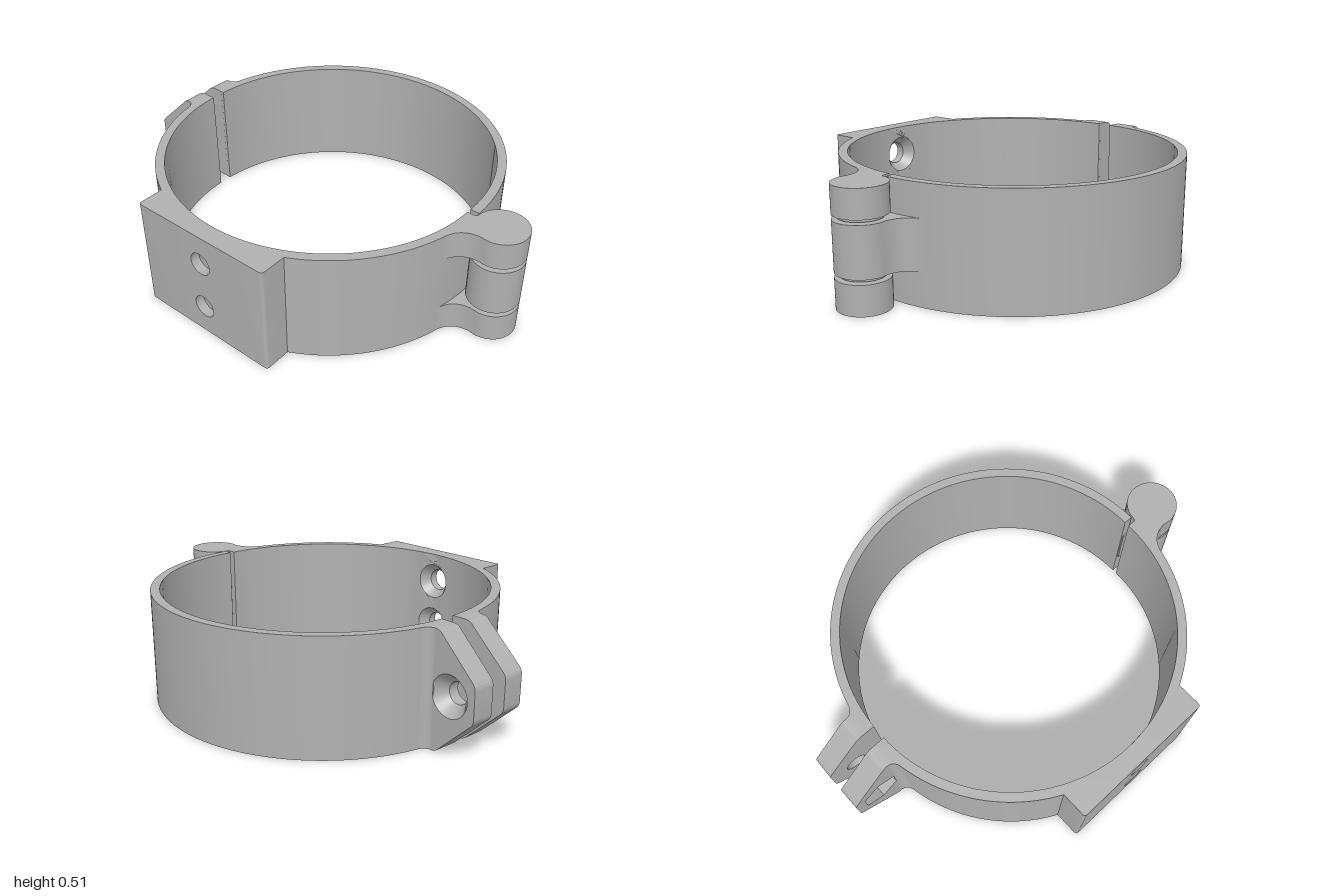
import * as THREE from 'three';
import { toCreasedNormals } from 'three/addons/utils/BufferGeometryUtils.js';

const H = 0.51, RI = 0.727, RO = 0.768;      // band height, inner and outer radius
const HINGE_X = 0.886, KNUCKLE_R = 0.114;
const PAD_X = 0.343, PAD_Z = 0.81, CORE_X = 0.11;
const OPEN = 0.034;                          // the back half is swung slightly open
const V = (x, y) => new THREE.Vector2(x, y);

const steel = new THREE.MeshStandardMaterial({ color: 0xb0b0b0 });
steel.name = 'grey metal';

function mesh(name, geometry) {
  const m = new THREE.Mesh(geometry, steel);
  m.name = name;
  return m;
}
const smooth = (g) => toCreasedNormals(g, 0.5);

// Points of an arc about (cx, cz)
function arc(r, a0, a1, n, cx = 0, cz = 0) {
  return Array.from({ length: n + 1 }, (_, i) => {
    const a = a0 + (a1 - a0) * i / n;
    return V(cx + r * Math.cos(a), cz + r * Math.sin(a));
  });
}
const bend = (a, b, c, n = 8) => new THREE.QuadraticBezierCurve(a, b, c).getPoints(n);

// Plan outline (x, z) raised from y0 to y1, optionally mirrored in x and z
function rise(points, y0, y1, mx = 1, mz = 1) {
  const shape = new THREE.Shape(points.map((p) => V(p.x * mx, p.y * mz)));
  const g = new THREE.ExtrudeGeometry(shape, { depth: y1 - y0, bevelEnabled: false });
  g.rotateX(Math.PI / 2).translate(0, y1, 0);
  return smooth(g);
}

// Upright outline (x, y) with holes, from z0 to z1
function slab(outline, holes, z0, z1) {
  const shape = new THREE.Shape(outline);
  holes.forEach((h) => shape.holes.push(new THREE.Path(h)));
  const g = new THREE.ExtrudeGeometry(shape, { depth: z1 - z0, bevelEnabled: false });
  return g.translate(0, 0, z0);
}

// Narrow round holes to radius r on the plane z, making them conical
function taper(g, centres, big, r, z) {
  const p = g.attributes.position;
  for (let i = 0; i < p.count; i++) {
    if (Math.abs(p.getZ(i) - z) > 1e-4) continue;
    for (const c of centres) {
      const dx = p.getX(i) - c.x, dy = p.getY(i) - c.y;
      if (Math.hypot(dx, dy) < big + 1e-3) p.setXY(i, c.x + dx * r / big, c.y + dy * r / big);
    }
  }
  return g;
}
const circle = (c, r, n = 40) => arc(r, 0, Math.PI * 2, n, c.x, c.y).slice(0, -1);

// Clamping ear; side is 1 for the front half and -1 for the back half
function addEar(group, side) {
  const outline = [
    V(-0.74, 0),
    ...bend(V(-0.79, 0), V(-0.815, 0), V(-0.83, 0.018), 5),
    ...bend(V(-0.985, 0.165), V(-1, 0.18), V(-1, 0.195), 5),
    ...bend(V(-1, 0.315), V(-1, 0.33), V(-0.985, 0.345), 5),
    ...bend(V(-0.83, H - 0.018), V(-0.815, H), V(-0.79, H), 5),
    V(-0.74, H),
  ];
  const c = V(-0.875, 0.255), bolt = circle(c, 0.047);
  const hex = arc(0.093, Math.PI / 2, Math.PI * 2.5, 6, c.x, c.y).slice(0, -1);
  if (side > 0) {
    group.add(mesh('earInner', smooth(slab(outline, [bolt], 0.005, 0.055))));
    group.add(mesh('earNutPocket', smooth(slab(outline, [hex], 0.055, 0.108))));
  } else {
    group.add(mesh('earInner', smooth(slab(outline, [bolt], -0.055, -0.005))));
    const sunk = slab(outline, [circle(c, 0.09)], -0.108, -0.055);
    group.add(mesh('earCountersink', smooth(taper(sunk, [c], 0.09, 0.047, -0.055))));
  }
  // Fillet between ear and band
  const root = [V(-0.735, 0.05), V(-0.735, 0.2), ...bend(V(-0.744, 0.19), V(-0.752, 0.112), V(-0.79, 0.108)), V(-0.79, 0.05)];
  group.add(mesh('earFillet', rise(root, 0, H, 1, side)));
}

// Hinge knuckle with its arm blending into the band
function knuckle(name, y0, y1, side) {
  const points = [
    V(0.735, 0.21),
    ...bend(V(0.741, 0.2), V(0.765, KNUCKLE_R), V(0.85, KNUCKLE_R - 0.004)),
    ...arc(KNUCKLE_R, Math.PI / 2, -Math.PI + 0.04, 48, HINGE_X, 0),
    V(0.765, 0.006), V(0.735, 0.006),
  ];
  return mesh(name, rise(points, y0, y1, 1, side));
}

function frontHalf() {
  const group = new THREE.Group();
  group.name = 'frontHalf';

  // Each side of the band with its share of the mounting pad
  const side = [
    ...arc(RO, 0.007, Math.acos(PAD_X / RO), 32),
    ...bend(V(PAD_X, PAD_Z - 0.015), V(PAD_X, PAD_Z), V(PAD_X - 0.015, PAD_Z), 4),
    V(CORE_X, PAD_Z),
    ...arc(RI, Math.acos(CORE_X / RI), 0.007, 40),
  ];
  group.add(mesh('leftBand', rise(side, 0, H)));
  group.add(mesh('rightBand', rise(side, 0, H, -1)));

  // Middle of the pad with two countersunk screw holes
  const outline = [];
  for (let i = 0; i <= 10; i++) outline.push(V(-CORE_X + CORE_X * i / 5, 0));
  for (let i = 0; i <= 10; i++) outline.push(V(CORE_X - CORE_X * i / 5, H));
  const screws = [V(0, 0.14), V(0, 0.37)];
  const MID = 0.768;
  group.add(mesh('padFace', smooth(slab(outline, screws.map((c) => circle(c, 0.052)), MID, PAD_Z))));
  const inner = slab(outline, screws.map((c) => circle(c, 0.086)), 0.7, MID);
  taper(inner, screws, 0.086, 0.052, MID);
  const p = inner.attributes.position;
  for (let i = 0; i < p.count; i++) {
    if (p.getZ(i) < 0.71) p.setZ(i, Math.sqrt(RI * RI - p.getX(i) ** 2));
  }
  group.add(mesh('padCountersinks', smooth(inner)));

  addEar(group, 1);
  group.add(knuckle('lowerKnuckle', 0, 0.13, 1));
  group.add(knuckle('upperKnuckle', 0.387, H, 1));
  return group;
}

function backHalf() {
  const group = new THREE.Group();
  group.name = 'backHalf';
  const band = [...arc(RO, 0.016, Math.PI - 0.007, 96), ...arc(RI, Math.PI - 0.007, 0.016, 96)];
  group.add(mesh('backBand', rise(band, 0, H, 1, -1)));
  addEar(group, -1);
  group.add(knuckle('middleKnuckle', 0.15, 0.367, -1));
  // Swing about the hinge axis
  const pivot = new THREE.Group();
  pivot.name = 'backHalfPivot';
  group.position.x = -HINGE_X;
  pivot.position.x = HINGE_X;
  pivot.rotation.y = -OPEN;
  pivot.add(group);
  return pivot;
}

export function createModel() {
  const model = new THREE.Group();
  model.name = 'hingedPipeClamp';
  const clamp = new THREE.Group();
  clamp.name = 'clamp';
  clamp.position.z = -0.01;
  clamp.add(frontHalf(), backHalf());

  // Hinge pin and the thin collars in the knuckle gaps
  const pin = mesh('hingePin', new THREE.CylinderGeometry(0.055, 0.055, 0.4, 32));
  pin.position.set(HINGE_X, H / 2, 0);
  clamp.add(pin);
  for (const y of [0.14, 0.377]) {
    const collar = mesh('hingeCollar', new THREE.CylinderGeometry(0.092, 0.092, 0.01, 40));
    collar.position.set(HINGE_X, y, 0);
    clamp.add(collar);
  }
  model.add(clamp);
  return model;
}
